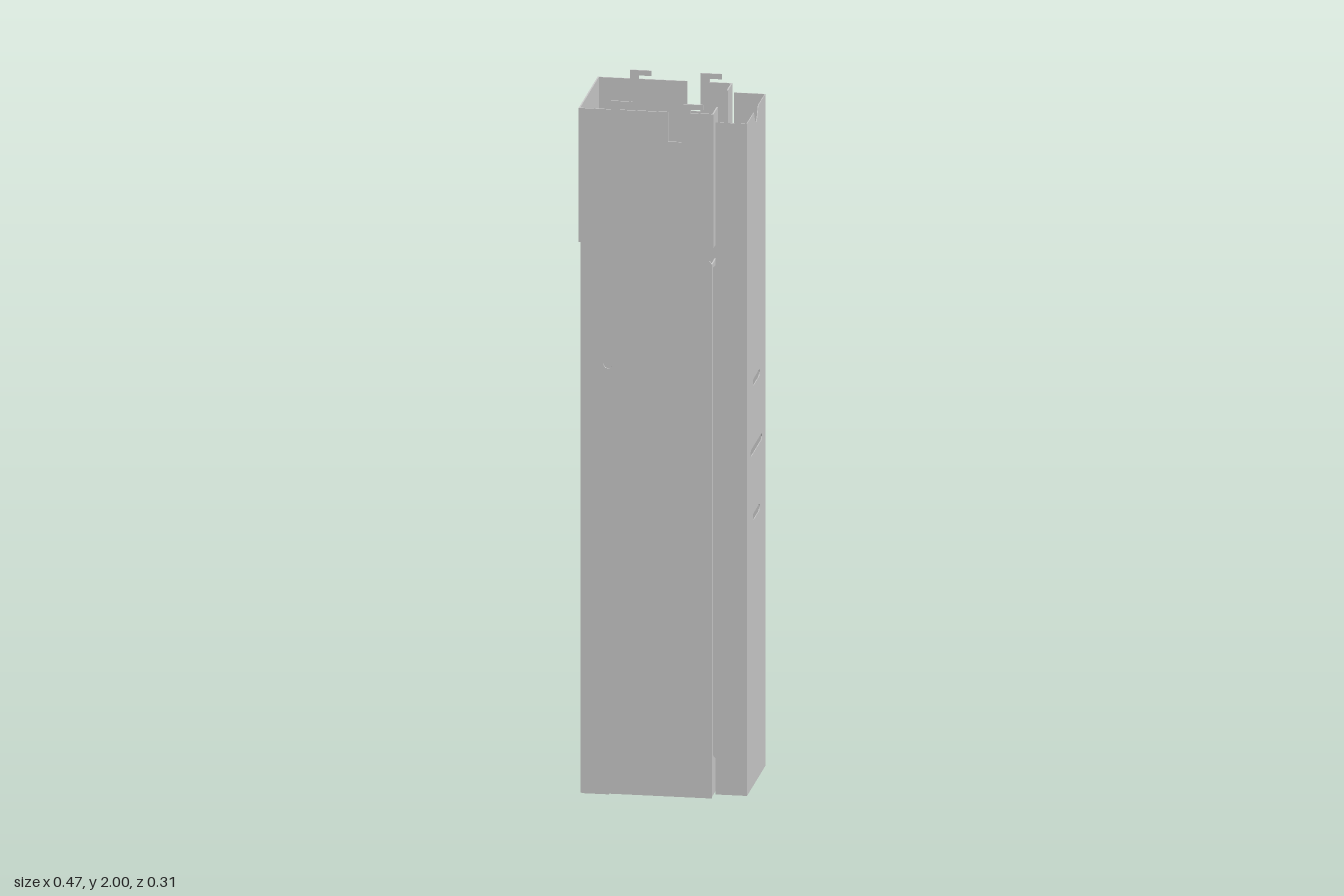
import * as THREE from 'three';

const T = 0.004; // sheet thickness
const mat = new THREE.MeshStandardMaterial({ color: 0xcccccc, flatShading: true });

const rect = (a0, b0, a1, b1) => [[a0, b0], [a1, b0], [a1, b1], [a0, b1]];

// Flat sheet cut from an outline, with optional holes
function sheet(outline, holes = [], t = T) {
  const vec = (pts) => pts.map(([a, b]) => new THREE.Vector2(a, b));
  const shape = new THREE.Shape(vec(outline));
  for (const h of holes) shape.holes.push(new THREE.Path(vec(h)));
  return new THREE.ExtrudeGeometry(shape, { depth: t, bevelEnabled: false, curveSegments: 12 });
}

function ring(cx, cy, r, n, start = 0) {
  return Array.from({ length: n }, (_, i) => {
    const a = start + (i / n) * Math.PI * 2;
    return [cx + r * Math.cos(a), cy + r * Math.sin(a)];
  });
}

// Slot with round ends, centred on z = 0
function slot(halfLength, y, r) {
  const pts = [];
  for (let i = 0; i <= 6; i++) {
    const a = -Math.PI / 2 + (i / 6) * Math.PI;
    pts.push([halfLength - r + r * Math.cos(a), y + r * Math.sin(a)]);
  }
  return [...pts, ...pts.map(([z, h]) => [-z, 2 * y - h])];
}

export function createModel() {
  const model = new THREE.Group();

  function add(parent, name, geometry) {
    const mesh = new THREE.Mesh(geometry, mat);
    mesh.name = name;
    parent.add(mesh);
  }
  function group(name) {
    const g = new THREE.Group();
    g.name = name;
    model.add(g);
    return g;
  }
  // Pair of sheets facing front and back, outer faces at z = +-zOuter
  function sidePair(parent, name, outline, holes, zOuter, t = T) {
    add(parent, name + 'Front', sheet(outline, holes, t).translate(0, 0, zOuter - t));
    add(parent, name + 'Rear', sheet(outline, holes, t).translate(0, 0, -zOuter));
  }
  // Sheet facing sideways, outline in (z, y), spanning x from x0 to x0 + t
  const crossSheet = (outline, holes, x0, t = T) =>
    sheet(outline, holes, t).rotateY(-Math.PI / 2).translate(x0 + t, 0, 0);
  // Mirrored inward lips along the open edge of a channel
  function lips(parent, y0, y1, x0, zOuter, zInner) {
    add(parent, 'lipFront', crossSheet(rect(zInner, y0, zOuter, y1), [], x0));
    add(parent, 'lipRear', crossSheet(rect(-zOuter, y0, -zInner, y1), [], x0));
  }

  // Main channel, running up inside the collar
  const body = group('mainChannel');
  sidePair(body, 'channelSide',
    [[-0.231, 0.005], [0.137, 0.005], [0.137, 1.54], [0.13, 1.55], [0.13, 1.67], [-0.231, 1.67]],
    [ring(-0.155, 1.24, 0.012, 16)], 0.152);
  lips(body, 0.01, 1.54, 0.133, 0.152, 0.084);
  add(body, 'channelBack', crossSheet(
    [[-0.152, 0.005], [-0.095, 0.005], [-0.095, 0.19], [0.095, 0.19], [0.095, 0.005], [0.152, 0.005],
      [0.152, 1.67], [-0.152, 1.67]],
    [[[-0.045, 0.55], [-0.02, 0.55], [-0.02, 0.6], [-0.026, 0.6], [-0.026, 0.557], [-0.045, 0.557]]], -0.231));
  add(body, 'footFlap', crossSheet(rect(-0.092, 0, 0.092, 0.186), [], -0.231));

  // Foot plate with two slots and two five-sided holes
  const footHoles = [];
  for (const s of [-1, 1]) {
    footHoles.push(rect(-0.226, s * 0.094 - 0.003, -0.158, s * 0.094 + 0.003));
    footHoles.push(ring(-0.184, s * 0.108, 0.009, 5, s * Math.PI / 2));
  }
  add(model, 'footPlate',
    sheet(rect(-0.229, -0.146, -0.153, 0.146), footHoles).rotateX(Math.PI / 2).translate(0, 0.005, 0));

  // Top collar with hooked tabs and a notch
  const collar = group('topCollar');
  const hook = (x) => [[x + 0.025, 1.975], [x + 0.025, 1.985], [x + 0.06, 1.985], [x + 0.06, 2], [x, 2], [x, 1.975]];
  sidePair(collar, 'collarSide',
    [[-0.236, 1.59], [0.141, 1.59], [0.141, 1.975], ...hook(0.053),
      [0.053, 1.89], [0.015, 1.89], [0.015, 1.975], ...hook(-0.145), [-0.236, 1.975]], [], 0.157);
  add(collar, 'collarBack', crossSheet(rect(-0.157, 1.59, 0.157, 1.975), [], -0.236));
  lips(collar, 1.59, 1.975, 0.138, 0.157, 0.084);

  // Front cover with slots and a notched top
  const cover = group('cover');
  sidePair(cover, 'coverSide',
    [[0.147, 0.017], [0.235, 0.017], [0.235, 1.95], [0.147, 1.95], [0.147, 1.54], [0.139, 1.53],
      [0.139, 0.13], [0.147, 0.12]], [], 0.151, 0.002);
  add(cover, 'coverFace', crossSheet(
    [[-0.151, 0.017], [0.151, 0.017], [0.151, 1.95], [0.038, 1.95], [0.032, 1.943], [0.016, 1.918],
      [0, 1.912], [-0.016, 1.918], [-0.032, 1.943], [-0.038, 1.95], [-0.151, 1.95]],
    [slot(0.055, 1.177, 0.01), slot(0.093, 0.983, 0.01), slot(0.055, 0.79, 0.01)], 0.233, 0.002));

  // Inner divider hung on the back of the channel
  const divider = group('innerDivider');
  add(divider, 'dividerWeb', sheet(rect(-0.226, 0.54, 0.004, 1.32), [], 0.003).translate(0, 0, -0.0015));
  add(divider, 'dividerFlange', crossSheet(rect(-0.066, 0.54, 0, 1.32), [], -0.2265, 0.003));
  add(divider, 'dividerHook', new THREE.BoxGeometry(0.014, 0.05, 0.034).translate(-0.218, 0.58, -0.035));

  return model;
}
